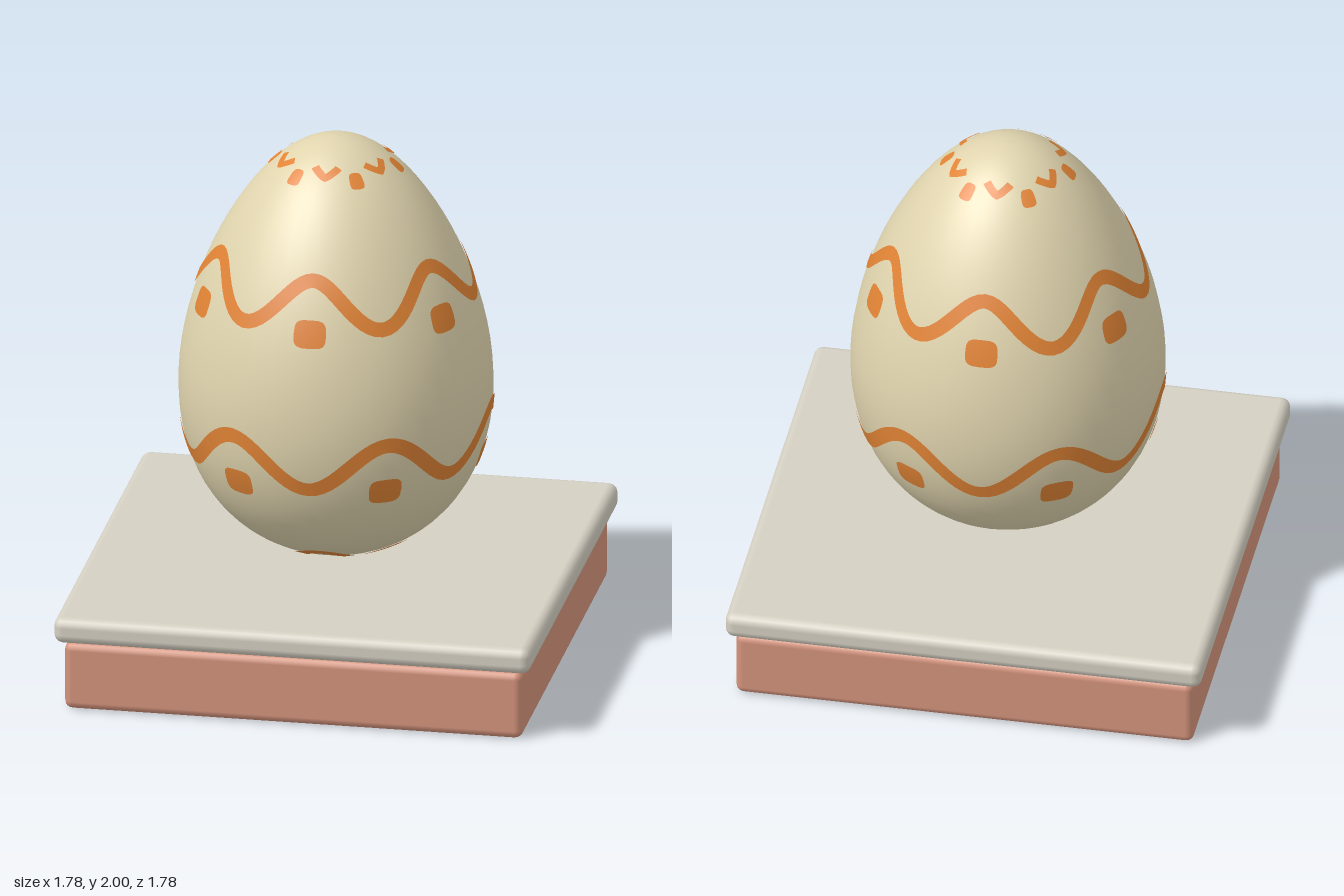
import * as THREE from 'three';
import { RoundedBoxGeometry } from 'three/addons/geometries/RoundedBoxGeometry.js';

const EGG_MID = 1.195, EGG_HALF = 0.805, LIFT = 0.004;
const DEG = Math.PI / 180;

// egg radius at a height: a circle section that narrows towards the top
function eggRadius(y) {
  const c = THREE.MathUtils.clamp((y - EGG_MID) / EGG_HALF, -1, 1);
  return 0.567 * Math.sqrt(1 - c * c) * (1 - 0.21 * c);
}

function eggNormal(angle, y) {
  const slope = (eggRadius(y + 0.001) - eggRadius(y - 0.001)) / 0.002;
  return new THREE.Vector3(Math.sin(angle), -slope, Math.cos(angle)).normalize();
}

// point just above the shell; angle runs from the front towards +x
function onEgg(angle, y) {
  const r = eggRadius(y);
  return new THREE.Vector3(r * Math.sin(angle), y, r * Math.cos(angle))
    .addScaledVector(eggNormal(angle, y), LIFT);
}

// grid surface from a rule (u, v) -> { point, normal }
function sheet(cols, rows, rule) {
  const pos = [], nor = [], index = [];
  for (let j = 0; j <= rows; j++) {
    for (let i = 0; i <= cols; i++) {
      const { point, normal } = rule(i / cols, j / rows);
      pos.push(...point.toArray());
      nor.push(...normal.toArray());
      if (i < cols && j < rows) {
        const a = j * (cols + 1) + i, b = a + 1, c = a + cols + 1, d = c + 1;
        index.push(a, b, d, a, d, c);
      }
    }
  }
  const g = new THREE.BufferGeometry();
  g.setAttribute('position', new THREE.Float32BufferAttribute(pos, 3));
  g.setAttribute('normal', new THREE.Float32BufferAttribute(nor, 3));
  g.setIndex(index);
  return g;
}

// painted band of even width following height(angle)
function band(from, to, width, steps, height) {
  return sheet(steps, 2, (u, v) => {
    const a = from + (to - from) * u;
    const normal = eggNormal(a, height(a));
    const along = onEgg(a + 0.002, height(a + 0.002)).sub(onEgg(a - 0.002, height(a - 0.002))).normalize();
    const across = new THREE.Vector3().crossVectors(normal, along);
    const point = onEgg(a, height(a)).addScaledVector(across, width * (v - 0.5));
    return { point, normal };
  });
}

// painted spot: a rounded square laid on the shell
function spot(angle, y, w, h) {
  const round = (t) => Math.sign(t) * Math.pow(Math.abs(t), 0.55);
  return sheet(24, 3, (u, v) => {
    const t = u * Math.PI * 2, k = 1 - v;
    const a = angle + (k * round(Math.cos(t)) * w / 2) / eggRadius(y);
    const py = y + k * round(Math.sin(t)) * h / 2;
    return { point: onEgg(a, py), normal: eggNormal(a, py) };
  });
}

export function createModel() {
  const shell = new THREE.MeshStandardMaterial({ color: 0xe0d4ae });
  const paint = new THREE.MeshStandardMaterial({ color: 0xe08335 });
  const stone = new THREE.MeshStandardMaterial({ color: 0xd4cfc2 });
  const clay = new THREE.MeshStandardMaterial({ color: 0xd4937c });
  shell.name = 'cream shell';
  paint.name = 'orange paint';
  stone.name = 'grey stone';
  clay.name = 'terracotta';

  const model = new THREE.Group();
  model.name = 'paintedEggOnPlinth';
  const add = (parent, name, geometry, material, y = 0) => {
    const mesh = new THREE.Mesh(geometry, material);
    mesh.name = name;
    mesh.position.y = y;
    parent.add(mesh);
  };

  // plinth
  add(model, 'plinthBase', new RoundedBoxGeometry(1.71, 0.26, 1.71, 2, 0.03), clay, 0.135);
  add(model, 'plinthSlab', new RoundedBoxGeometry(1.78, 0.1, 1.78, 2, 0.036), stone, 0.32);

  // egg body
  const egg = new THREE.Group();
  egg.name = 'egg';
  model.add(egg);
  const profile = [];
  for (let i = 0; i <= 40; i++) {
    const y = EGG_MID - EGG_HALF * Math.cos(Math.PI * i / 40);
    profile.push(new THREE.Vector2(i % 40 ? eggRadius(y) : 0, y));
  }
  add(egg, 'eggShell', new THREE.LatheGeometry(profile, 48), shell);

  // wavy bands, six waves each
  const turn = Math.PI * 2;
  add(egg, 'upperWave', band(0, turn, 0.054, 144, (a) => 1.507 + 0.087 * Math.cos(6 * a)), paint);
  add(egg, 'lowerWave', band(0, turn, 0.058, 144, (a) => 0.903 - 0.087 * Math.cos(6 * a)), paint);

  // repeated spots and short strokes
  for (let i = 0; i < 6; i++) {
    const a = i * 60 * DEG, half = a + 30 * DEG;
    add(egg, 'upperSpot', spot(a, 1.41, 0.12, 0.1), paint);
    add(egg, 'lowerSpot', spot(half, 0.8, 0.125, 0.1), paint);
    add(egg, 'crownSpot', spot(half, 1.898, 0.052, 0.046), paint);
    add(egg, 'crownStroke', band(a - 14 * DEG, a + 14 * DEG, 0.03, 12,
      (t) => 1.908 + 0.028 * Math.abs(t - a) / (14 * DEG)), paint);
    add(egg, 'footStroke', band(a - 24 * DEG, a + 24 * DEG, 0.044, 16,
      (t) => 0.459 + 0.025 * Math.cos(6 * t)), paint);
  }
  return model;
}
